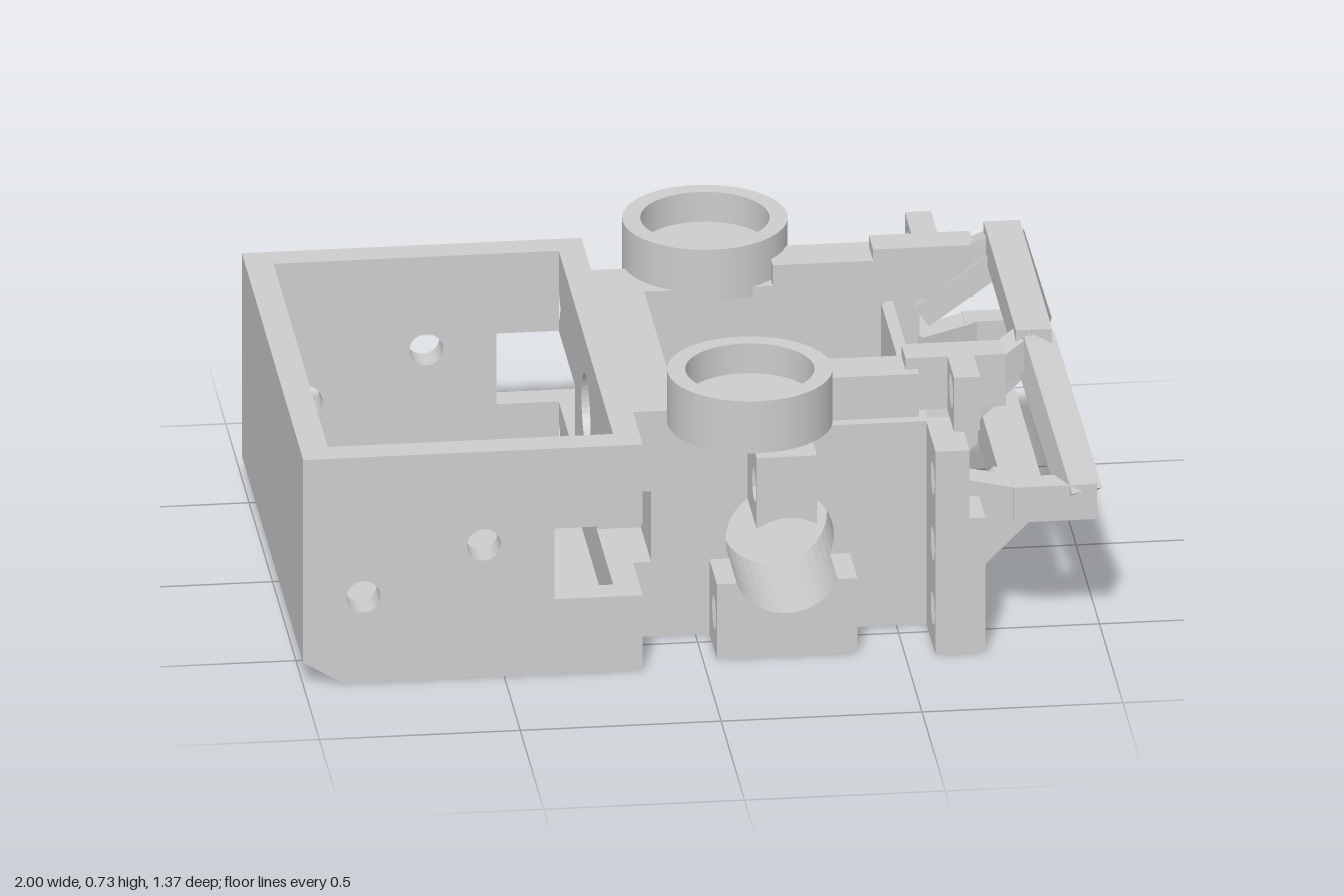
import * as THREE from 'three';

export function createModel() {
  const model = new THREE.Group();
  const grey = new THREE.MeshStandardMaterial({ color: 0xcccccc });
  grey.name = 'plain grey';

  const add = (name, geo) => {
    const m = new THREE.Mesh(geo, grey);
    m.name = name;
    model.add(m);
    return m;
  };
  // Box given by its limits
  const box = (name, x0, x1, y0, y1, z0, z1) =>
    add(name, new THREE.BoxGeometry(x1 - x0, y1 - y0, Math.abs(z1 - z0))
      .translate((x0 + x1) / 2, (y0 + y1) / 2, (z0 + z1) / 2));
  // Outline with round holes [x, y, radius]
  const outline = (pts, holes = []) => {
    const s = new THREE.Shape(pts.map(p => new THREE.Vector2(...p)));
    for (const [x, y, r] of holes) s.holes.push(new THREE.Path().absarc(x, y, r, 0, Math.PI * 2, true));
    return s;
  };
  const rect = (a, b, c, d) => [[a, c], [b, c], [b, d], [a, d]];
  const extrude = (shape, depth) =>
    new THREE.ExtrudeGeometry(shape, { depth, bevelEnabled: false, curveSegments: 20 });
  // Side profile (x, y) spanning two z limits
  const slabZ = (name, shape, za, zb) =>
    add(name, extrude(shape, Math.abs(zb - za)).translate(0, 0, Math.min(za, zb)));
  // Cross profile (-z, y) spanning two x limits
  const slabX = (name, shape, x0, x1) =>
    add(name, extrude(shape, x1 - x0).rotateY(Math.PI / 2).translate(x0, 0, 0));
  // Block bored lengthwise: z limits, y limits, then hole z and heights
  const bored = (name, s, x0, x1, z0, z1, y0, y1, hz, heights) =>
    slabX(name, outline(rect(-s * z0, -s * z1, y0, y1), heights.map(y => [-s * hz, y, 0.042])), x0, x1);
  // Straight square bar between two points
  const beam = (name, a, b, w, h) => {
    const p = new THREE.Vector3(...a), q = new THREE.Vector3(...b);
    const m = add(name, new THREE.BoxGeometry(w, h, p.distanceTo(q)));
    m.position.copy(p).add(q).multiplyScalar(0.5);
    m.lookAt(q);
  };

  // Rear tub: floor, back wall, and bulkhead with notches, bolt holes and a shaft hole
  slabZ('tubFloor', outline([[-0.9, 0], [-0.22, 0], [-0.22, 0.07], [-1, 0.07], [-1, 0.06]]), -0.58, 0.58);
  box('tubBackWall', -1, -0.93, 0.06, 0.605, -0.58, 0.58);
  const notched = w => [
    [-w, 0], [w, 0], [w, 0.2], [0.23, 0.2], [0.23, 0.39], [w, 0.39], [w, 0.605],
    [-w, 0.605], [-w, 0.39], [-0.23, 0.39], [-0.23, 0.2], [-w, 0.2],
  ];
  const shaft = [0, 0.42, 0.095];
  const bolts = [];
  for (const z of [-0.59, 0.59]) for (const y of [0.11, 0.46]) bolts.push([z, y, 0.042]);
  slabX('bulkhead', outline(notched(0.655), [...bolts, shaft]), -0.22, -0.155);

  // Middle bay: rear wall, floor and front wall
  slabX('bayRearWallNotched', outline(notched(0.45), [shaft]), -0.155, -0.11);
  slabX('bayRearWall', outline(rect(-0.45, 0.45, 0, 0.605), [shaft]), -0.11, -0.04);
  box('bayFloor', -0.04, 0.55, 0, 0.06, -0.3, 0.3);
  box('bayFrontWall', 0.55, 0.58, 0, 0.545, -0.45, 0.45);

  // Sloped skid plate with a window
  const skid = outline([[0.58, 0], [0.88, 0.3], [0.88, 0.31], [0.77, 0.31], [0.58, 0.12]]);
  for (const s of [-1, 1]) slabZ('skidSide', skid, s * 0.207, s * 0.43);
  slabZ('skidLower', outline([[0.58, 0], [0.635, 0.055], [0.635, 0.2], [0.58, 0.2]]), -0.207, 0.207);
  slabZ('skidUpper', outline([[0.78, 0.2], [0.88, 0.3], [0.88, 0.31], [0.78, 0.31]]), -0.207, 0.207);

  for (const s of [-1, 1]) {
    // Tub side with a chamfered corner, a notch and two holes
    slabZ('tubSide', outline([
      [-0.9, 0], [-0.22, 0], [-0.22, 0.2], [-0.375, 0.2], [-0.375, 0.39], [-0.22, 0.39],
      [-0.22, 0.605], [-1, 0.605], [-1, 0.06],
    ], [[-0.85, 0.23, 0.042], [-0.55, 0.355, 0.042]]), s * 0.58, s * 0.655);

    // Bay side wall with the axle bore
    slabZ('baySide', outline([
      [-0.04, 0], [0.55, 0], [0.55, 0.545], [0.28, 0.545], [0.28, 0.605], [-0.04, 0.605],
    ], [[0.21, 0.25, 0.135]]), s * 0.3, s * 0.45);

    // Lower axle cradle with bored cheeks
    const cradle = new THREE.Shape();
    const a = Math.asin(0.05 / 0.135), dx = 0.135 * Math.cos(a);
    cradle.moveTo(0.1, 0).lineTo(0.32, 0).lineTo(0.32, 0.15).lineTo(0.385, 0.15);
    cradle.lineTo(0.385, 0.2).lineTo(0.21 + dx, 0.2);
    cradle.absarc(0.21, 0.25, 0.135, -a, Math.PI + a, true);
    cradle.lineTo(0.035, 0.2).lineTo(0.035, 0.15).lineTo(0.1, 0.15);
    slabZ('axleCradle', cradle, s * 0.45, s * 0.61);
    for (const x of [0.035, 0.32]) bored('cradleCheek', s, x, x + 0.065, 0.45, 0.61, 0, 0.15, 0.55, [0.1]);

    // Upper axle clamp with a bored head
    const clamp = new THREE.Shape();
    const b = Math.acos(0.07 / 0.135), c = Math.PI - Math.acos(0.08 / 0.135);
    clamp.moveTo(0.28, 0.25 + 0.135 * Math.sin(b)).lineTo(0.28, 0.39).lineTo(0.13, 0.39);
    clamp.lineTo(0.13, 0.25 + 0.135 * Math.sin(c));
    clamp.absarc(0.21, 0.25, 0.135, c, b, true);
    slabZ('axleClamp', clamp, s * 0.45, s * 0.645);
    bored('clampHead', s, 0.13, 0.28, 0.45, 0.645, 0.39, 0.55, 0.59, [0.455]);

    // Round spring cup
    const cup = [[0, 0.58], [0.205, 0.58], [0.205, 0.58], [0.205, 0.72], [0.205, 0.72], [0.16, 0.72],
      [0.16, 0.72], [0.16, 0.64], [0.16, 0.64], [0, 0.64]];
    add('springCup', new THREE.LatheGeometry(cup.map(p => new THREE.Vector2(...p)), 40)
      .translate(0.132, 0, s * 0.48));

    // Front post with bolt holes, its pad and inner bracket
    bored('frontPost', s, 0.575, 0.66, 0.48, 0.645, 0, 0.545, 0.588, [0.1, 0.275, 0.45]);
    bored('frontPostPad', s, 0.66, 0.7, 0.48, 0.64, 0, 0.36, 0.588, [0.275]);
    box('postBracket', 0.575, 0.66, 0, 0.545, s * 0.43, s * 0.48);

    // Upper arm and drilled lug
    box('upperArm', 0.28, 0.56, 0.54, 0.66, s * 0.3, s * 0.42);
    box('armTip', 0.53, 0.78, 0.55, 0.69, s * 0.3, s * 0.39);
    bored('armLug', s, 0.635, 0.7, 0.39, 0.525, 0.545, 0.69, 0.465, [0.63]);

    // Bumper frame side members
    beam('bumperPost', [0.855, 0.695, s * 0.31], [0.95, 0.36, s * 0.525], 0.085, 0.08);
    beam('bumperReturn', [0.985, 0.355, s * 0.525], [0.78, 0.355, s * 0.525], 0.07, 0.094);
    beam('bumperMount', [0.81, 0.355, s * 0.53], [0.65, 0.355, s * 0.44], 0.07, 0.09);
    beam('bumperBrace', [0.85, 0.66, s * 0.29], [0.66, 0.5, s * 0.34], 0.07, 0.06);
    beam('topStay', [0.85, 0.69, s * 0.31], [0.75, 0.63, s * 0.35], 0.07, 0.07);
  }
  // Bumper cross bars
  beam('bumperTopBar', [0.855, 0.69, -0.345], [0.855, 0.69, 0.345], 0.09, 0.085);
  beam('bumperLowerBar', [0.945, 0.355, -0.55], [0.945, 0.355, 0.55], 0.085, 0.095);

  return model;
}
